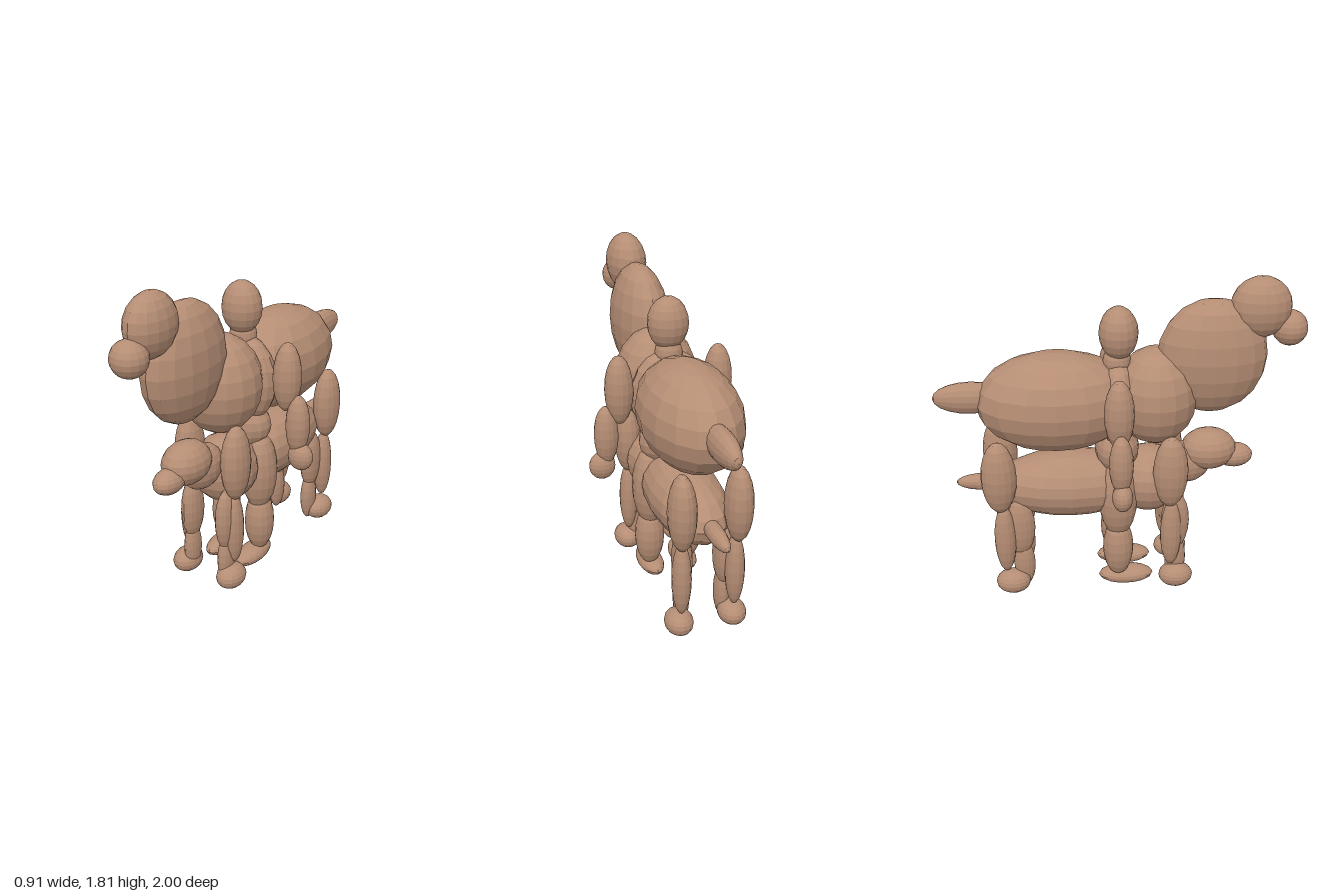
import * as THREE from 'three';

const skin = new THREE.MeshStandardMaterial({ color: 0xb58d74, flatShading: true });
skin.name = 'clay skin';

const ball = new THREE.SphereGeometry(1, 16, 10);
const ballZ = ball.clone().rotateX(Math.PI / 2); // poles along z, for tails

// One ellipsoid: centre (x, y, z) and radii (rx, ry, rz)
function blob(parent, name, [x, y, z], [rx, ry, rz], geometry = ball) {
  const mesh = new THREE.Mesh(geometry, skin);
  mesh.name = name;
  mesh.position.set(x, y, z);
  mesh.scale.set(rx, ry, rz);
  parent.add(mesh);
}

// The same ellipsoid on both sides
function pair(parent, name, [x, y, z], radii) {
  blob(parent, name + 'Left', [x, y, z], radii);
  blob(parent, name + 'Right', [-x, y, z], radii);
}

function part(name) {
  const group = new THREE.Group();
  group.name = name;
  return group;
}

// Large four-legged animal
function largeAnimal() {
  const g = part('largeAnimal');
  blob(g, 'head', [0, 1.645, 0.745], [0.112, 0.167, 0.165]);
  blob(g, 'muzzle', [0, 1.525, 0.905], [0.098, 0.096, 0.096]);
  blob(g, 'neck', [0, 1.375, 0.5], [0.155, 0.322, 0.297]);
  blob(g, 'chest', [0, 1.155, 0.2], [0.228, 0.275, 0.228]);
  blob(g, 'body', [0, 1.138, -0.335], [0.262, 0.278, 0.437]);
  blob(g, 'tail', [0, 1.17, -0.79], [0.065, 0.09, 0.205], ballZ);
  // Front legs, then hind legs
  for (const [name, upper, lower, foot] of [
    ['front', 0.275, 0.285, 0.317],
    ['hind', -0.66, -0.643, -0.61],
  ]) {
    pair(g, name + 'UpperLeg', [0.153, 0.757, upper], [0.075, 0.216, 0.097]);
    pair(g, name + 'LowerLeg', [0.148, 0.36, lower], [0.052, 0.213, 0.06]);
    pair(g, name + 'Hoof', [0.15, 0.075, foot], [0.077, 0.07, 0.097]);
  }
  return g;
}

// Small four-legged animal
function smallAnimal() {
  const g = part('smallAnimal');
  blob(g, 'head', [0, 0.815, 0.5], [0.12, 0.118, 0.155]);
  blob(g, 'muzzle', [0, 0.768, 0.645], [0.073, 0.068, 0.105]);
  blob(g, 'neck', [0, 0.735, 0.37], [0.095, 0.125, 0.145]);
  blob(g, 'chest', [0, 0.645, 0.165], [0.185, 0.192, 0.19]);
  blob(g, 'body', [0, 0.632, -0.265], [0.2, 0.19, 0.44]);
  blob(g, 'tail', [0, 0.65, -0.73], [0.045, 0.05, 0.172], ballZ);
  for (const [name, upper, lower] of [
    ['front', 0.31, 0.315],
    ['hind', -0.555, -0.543],
  ]) {
    pair(g, name + 'UpperLeg', [0.115, 0.415, upper], [0.053, 0.185, 0.08]);
    pair(g, name + 'LowerLeg', [0.115, 0.17, lower], [0.042, 0.15, 0.06]);
  }
  return g;
}

// Standing person
function person() {
  const g = part('person');
  blob(g, 'head', [0, 1.52, 0], [0.112, 0.145, 0.105]);
  blob(g, 'neck', [0, 1.36, -0.01], [0.075, 0.09, 0.075]);
  blob(g, 'torso', [0, 1.12, -0.005], [0.212, 0.255, 0.12]);
  blob(g, 'pelvis', [0, 0.85, -0.01], [0.17, 0.14, 0.122]);
  pair(g, 'upperArm', [0.28, 1.18, -0.015], [0.078, 0.195, 0.08]);
  pair(g, 'forearm', [0.355, 0.925, -0.01], [0.067, 0.17, 0.065]);
  pair(g, 'hand', [0.38, 0.745, -0.005], [0.073, 0.078, 0.056]);
  pair(g, 'thigh', [0.112, 0.575, -0.01], [0.098, 0.235, 0.108]);
  pair(g, 'shin', [0.115, 0.26, -0.01], [0.083, 0.185, 0.086]);
  pair(g, 'foot', [0.1, 0.06, 0.035], [0.072, 0.052, 0.155]);
  return g;
}

export function createModel() {
  const model = part('figures');
  model.add(largeAnimal(), smallAnimal(), person());
  return model;
}
